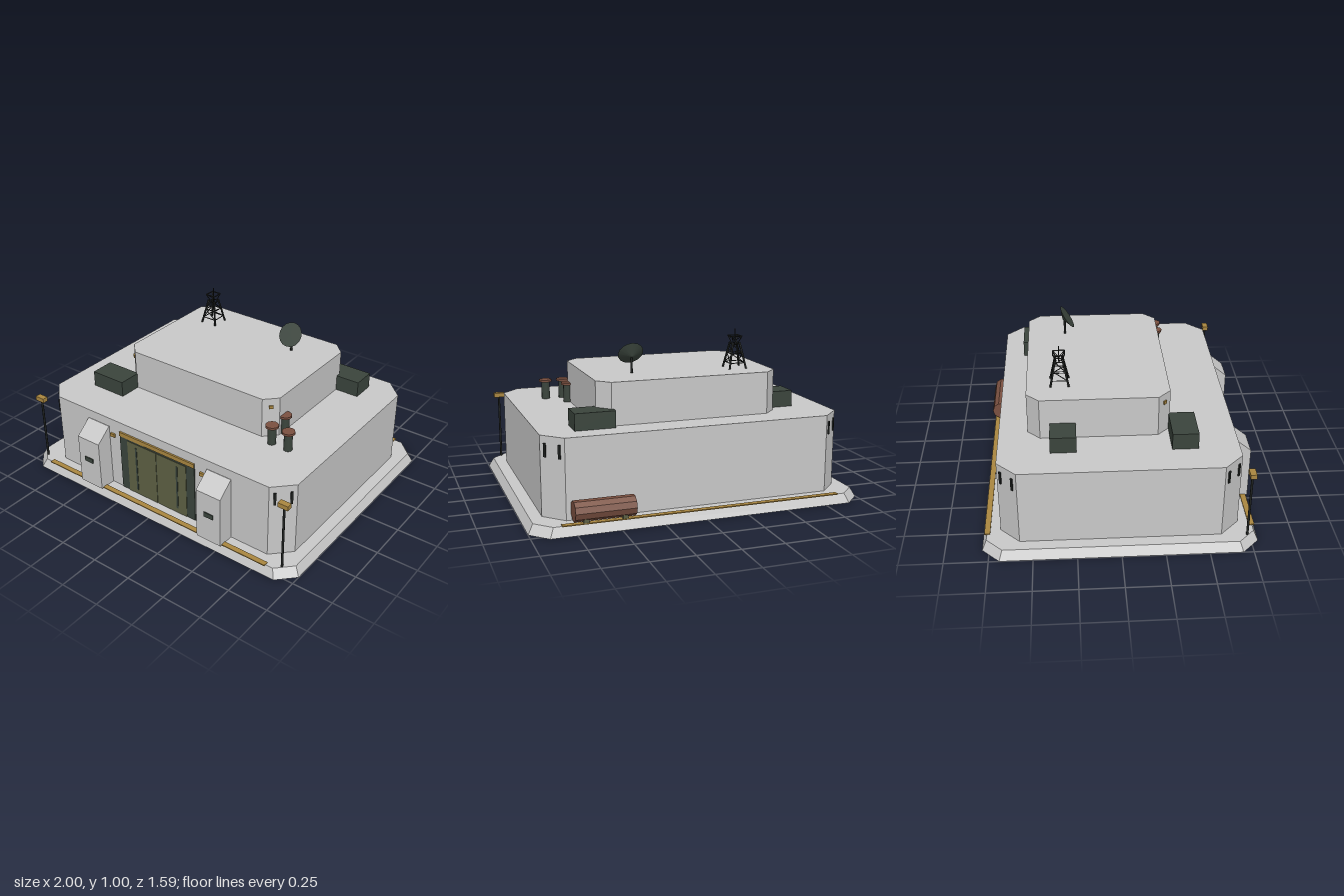
import * as THREE from 'three';

const mat = (name, color) => {
  const m = new THREE.MeshStandardMaterial({ color });
  m.name = name;
  return m;
};

export function createModel() {
  const concrete = mat('concrete', 0xc8c8c8);
  const green = mat('darkGreen', 0x3a443c);
  const olive = mat('olive', 0x5d6044);
  const gold = mat('gold', 0xa98640);
  const rust = mat('rust', 0x7a5040);
  const black = mat('blackMetal', 0x1e211f);

  const model = new THREE.Group();
  model.name = 'bunker';

  const add = (name, geo, material, x = 0, y = 0, z = 0, parent = model) => {
    const mesh = new THREE.Mesh(geo, material);
    mesh.name = name;
    mesh.position.set(x, y, z);
    parent.add(mesh);
    return mesh;
  };
  const box = (name, material, w, h, d, x, y, z, parent) =>
    add(name, new THREE.BoxGeometry(w, h, d), material, x, y, z, parent);
  const group = (name, x = 0, y = 0, z = 0) => {
    const g = new THREE.Group();
    g.name = name;
    g.position.set(x, y, z);
    model.add(g);
    return g;
  };

  // Bevelled-corner block lofted between two octagonal rings
  const ring = (hx, hz, c, y) => [
    [hx, y, hz - c], [hx - c, y, hz], [c - hx, y, hz], [-hx, y, hz - c],
    [-hx, y, c - hz], [c - hx, y, -hz], [hx - c, y, -hz], [hx, y, c - hz],
  ];
  const loft = (low, high) => {
    const p = [];
    const cl = [0, low[0][1], 0], ch = [0, high[0][1], 0];
    low.forEach((a, i) => {
      const j = (i + 1) % low.length, b = low[j], A = high[i], B = high[j];
      p.push(...a, ...A, ...B, ...a, ...B, ...b, ...ch, ...B, ...A, ...cl, ...a, ...b);
    });
    const g = new THREE.BufferGeometry();
    g.setAttribute('position', new THREE.Float32BufferAttribute(p, 3));
    g.computeVertexNormals();
    return g;
  };

  // Foundation and the two storeys
  add('foundation', loft(ring(1, 0.79, 0.1, 0), ring(0.97, 0.765, 0.093, 0.055)), concrete);
  add('mainBlock', loft(ring(0.9, 0.687, 0.112, 0.055), ring(0.9, 0.687, 0.112, 0.518)), concrete);
  add('upperBlock', loft(ring(0.55, 0.413, 0.073, 0.518), ring(0.55, 0.413, 0.073, 0.768)), concrete, 0, 0, -0.105);

  // Vent slots on the four bevelled corners
  for (const sx of [-1, 1]) for (const sz of [-1, 1]) for (const k of [-1, 1]) {
    const slot = box('ventSlot', black, 0.014, 0.078, 0.012,
      sx * (0.845 + k * 0.033), 0.438, sz * (0.632 - k * 0.033));
    slot.rotation.y = sx * sz * Math.PI / 4;
  }

  // Painted strips along the foundation
  for (const s of [-1, 1]) box('edgeStrip', gold, 1.66, 0.006, 0.033, 0, 0.058, s * 0.762);

  // Door
  const door = group('door', 0, 0, 0.687);
  box('doorFrame', green, 0.565, 0.4, 0.008, 0, 0.257, 0.002, door);
  box('lintel', gold, 0.565, 0.028, 0.014, 0, 0.444, 0.004, door);
  for (const s of [-1, 1]) {
    box('doorLeaf', olive, 0.221, 0.36, 0.006, s * 0.1125, 0.237, 0.006, door);
    box('doorBar', green, 0.012, 0.3, 0.006, s * 0.155, 0.24, 0.009, door);
  }

  // Sloped buttresses, wall lights, lamp posts and upper lights
  const side = new THREE.Shape([[0.67, 0.055], [0.79, 0.055], [0.79, 0.378], [0.69, 0.46], [0.67, 0.46]]
    .map(([z, y]) => new THREE.Vector2(z, y)));
  const buttress = new THREE.ExtrudeGeometry(side, { depth: 0.168, bevelEnabled: false });
  buttress.translate(0, 0, -0.084).rotateY(-Math.PI / 2);
  for (const s of [-1, 1]) {
    add('buttress', buttress, concrete, s * 0.454);
    box('buttressVent', green, 0.064, 0.03, 0.01, s * 0.457, 0.237, 0.791);
    box('wallLight', gold, 0.034, 0.022, 0.016, s * 0.34, 0.411, 0.691);
    add('lampPost', new THREE.CylinderGeometry(0.007, 0.007, 0.41, 8), black, s * 0.91, 0.26, 0.722);
    box('lampHead', gold, 0.065, 0.028, 0.036, s * 0.91, 0.477, 0.722);
    const light = box('upperLight', gold, 0.024, 0.02, 0.012, s * 0.515, 0.714, 0.273);
    light.rotation.y = s * Math.PI / 4;
  }

  // Roof equipment boxes
  for (const [x, z] of [[-0.588, -0.314], [-0.588, 0.375], [0.583, -0.487]])
    box('roofUnit', green, 0.236, 0.1, 0.15, x, 0.566, z);

  // Exhaust stacks
  for (const [x, z] of [[0.562, 0.328], [0.672, 0.328], [0.562, 0.192]]) {
    add('stack', new THREE.CylinderGeometry(0.026, 0.026, 0.11, 10), green, x, 0.573, z);
    add('stackCap', new THREE.CylinderGeometry(0.039, 0.039, 0.014, 10), rust, x, 0.634, z);
  }

  // Fuel tank on two cradles behind the back wall
  const tank = new THREE.CylinderGeometry(0.059, 0.059, 0.345, 10);
  tank.rotateZ(Math.PI / 2);
  const tankMesh = add('fuelTank', tank.toNonIndexed(), rust, 0.588, 0.121, -0.735);
  tankMesh.geometry.computeVertexNormals();
  for (const s of [-1, 1]) box('tankCradle', olive, 0.03, 0.045, 0.085, 0.588 + s * 0.11, 0.077, -0.735);

  // Lattice tower
  const tower = group('latticeTower', -0.348, 0.768, -0.325);
  const strut = (name, a, b, r) => {
    const from = new THREE.Vector3(...a), to = new THREE.Vector3(...b);
    const dir = to.clone().sub(from);
    const m = add(name, new THREE.CylinderGeometry(r, r, dir.length(), 6), black, 0, 0, 0, tower);
    m.position.copy(from).add(to).multiplyScalar(0.5);
    m.quaternion.setFromUnitVectors(new THREE.Vector3(0, 1, 0), dir.normalize());
  };
  const half = (y) => 0.053 - 0.2 * y;
  const corner = (i, y, h = half(y)) => [[h, y, h], [-h, y, h], [-h, y, -h], [h, y, -h]][i % 4];
  for (let i = 0; i < 4; i++) {
    strut('towerLeg', corner(i, 0), corner(i, 0.155), 0.006);
    for (const y of [0.035, 0.09, 0.145]) strut('towerRing', corner(i, y), corner(i + 1, y), 0.003);
    strut('towerBrace', corner(i, 0.035), corner(i + 1, 0.09), 0.003);
    strut('towerBrace', corner(i, 0.09), corner(i + 1, 0.145), 0.003);
    strut('crownRing', corner(i, 0.193, 0.032), corner(i + 1, 0.193, 0.032), 0.004);
    strut('crownBrace', corner(i, 0.193, 0.032), corner(i, 0.15, 0.014), 0.003);
    strut('crownSpoke', corner(i, 0.193, 0.032), [0, 0.165, 0], 0.002);
  }
  strut('towerMast', [0, 0.14, 0], [0, 0.236, 0], 0.003);

  // Dish antenna, tilted up toward the front
  add('dishPost', new THREE.CylinderGeometry(0.007, 0.007, 0.1, 8), black, 0.287, 0.815, -0.285);
  const cone = new THREE.ConeGeometry(0.077, 0.035, 16);
  cone.translate(0, -0.0175, 0).rotateX(-Math.PI / 2);
  cone.translate(0, 0, -0.035);
  const dish = add('dish', cone, green, 0.287, 0.883, -0.268);
  dish.rotation.x = -0.58;

  return model;
}
